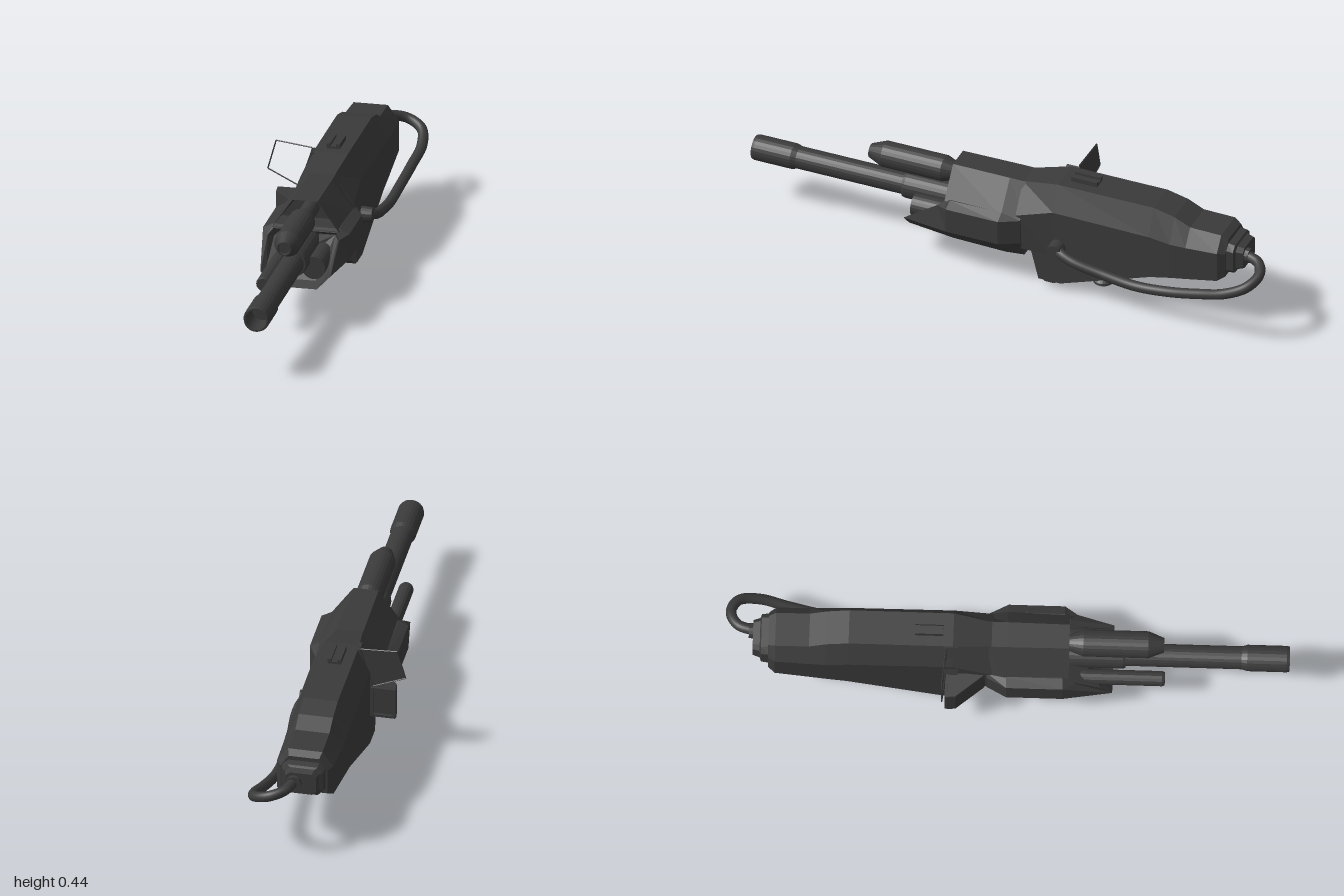
import * as THREE from 'three';

const CX = 0.022; // mirror line of the main body
const mat = new THREE.MeshStandardMaterial({ color: 0x3a3a3a, flatShading: true });
const smooth = new THREE.MeshStandardMaterial({ color: 0x3a3a3a });

export function createModel() {
  const model = new THREE.Group();
  const add = (name, geo, material = mat) => {
    const m = new THREE.Mesh(geo, material);
    m.name = name;
    model.add(m);
    return m;
  };

  // Loft front to back through mirrored rings; half points are [halfWidth, y, zOffset]
  const loft = (sections) => {
    const rings = sections.map(([z, half]) => {
      const side = (s) => half.map(([w, y, dz = 0]) => [CX + s * w, y, z + dz]);
      return [...side(1), ...side(-1).reverse()];
    });
    const pos = [];
    const tri = (...p) => p.forEach((q) => pos.push(...q));
    const n = rings[0].length;
    for (let i = 0; i < rings.length - 1; i++) {
      for (let j = 0; j < n; j++) {
        const k = (j + 1) % n;
        const [a, b, c, d] = [rings[i][j], rings[i][k], rings[i + 1][k], rings[i + 1][j]];
        tri(a, b, c);
        tri(a, c, d);
      }
    }
    const first = rings[0], last = rings[rings.length - 1];
    for (let k = 1; k < n - 1; k++) {
      tri(first[0], first[k + 1], first[k]);
      tri(last[0], last[k], last[k + 1]);
    }
    const g = new THREE.BufferGeometry();
    g.setAttribute('position', new THREE.Float32BufferAttribute(pos, 3));
    g.computeVertexNormals();
    return g;
  };

  // Side profile [z, y] extruded across x
  const sideExtrude = (pts, x0, width) => {
    const shape = new THREE.Shape(pts.map(([z, y]) => new THREE.Vector2(z, y)));
    return new THREE.ExtrudeGeometry(shape, { depth: width, bevelEnabled: false })
      .rotateY(-Math.PI / 2).translate(x0 + width, 0, 0);
  };

  // Turned part along z; profile is [radius, z] from back to front
  const turned = (profile, x, y, seg = 24) =>
    new THREE.LatheGeometry(profile.map(([r, z]) => new THREE.Vector2(r, z)), seg)
      .rotateX(Math.PI / 2).translate(x, y, 0);

  const box = (w, h, d, x, y, z) => new THREE.BoxGeometry(w, h, d).translate(x, y, z);

  // Main body
  add('body', loft([
    [-0.05, [[0.045, 0.385], [0.115, 0.28], [0.107, 0.14]]],
    [-0.19, [[0.0625, 0.418], [0.107, 0.325], [0.107, 0.14]]],
    [-0.56, [[0.0625, 0.418], [0.107, 0.32], [0.107, 0.15]]],
    [-0.64, [[0.062, 0.4], [0.107, 0.31], [0.107, 0.168]]],
    [-0.70, [[0.062, 0.372], [0.105, 0.31], [0.105, 0.178]]],
    [-0.82, [[0.062, 0.37], [0.102, 0.315], [0.102, 0.2]]],
    [-0.845, [[0.055, 0.355], [0.085, 0.31], [0.085, 0.215]]],
  ]));

  // Rear cap in two steps
  add('rearCap', loft([
    [-0.84, [[0.055, 0.34], [0.078, 0.32], [0.078, 0.235], [0.055, 0.215]]],
    [-0.87, [[0.055, 0.335], [0.075, 0.315], [0.075, 0.24], [0.055, 0.22]]],
    [-0.875, [[0.045, 0.328], [0.062, 0.312], [0.062, 0.245], [0.045, 0.23]]],
    [-0.9, [[0.04, 0.322], [0.055, 0.308], [0.055, 0.25], [0.04, 0.238]]],
  ]));

  // Faceted lower handguard with a recessed front
  add('handguard', loft([
    [0.335, [[0.1, 0.25, -0.155], [0.115, 0.24, -0.13], [0.113, 0.175], [0.065, 0.13]]],
    [0.375, [[0.115, 0.272, -0.155], [0.13, 0.255, -0.13], [0.127, 0.165], [0.078, 0.113]]],
    [0.2, [[0.122, 0.282], [0.157, 0.265], [0.157, 0.17], [0.087, 0.1]]],
    [0, [[0.122, 0.285], [0.157, 0.265], [0.157, 0.17], [0.087, 0.095]]],
    [-0.07, [[0.107, 0.28], [0.12, 0.265], [0.12, 0.17], [0.08, 0.097]]],
  ]));

  // Upper hood, hollow at the front
  add('hood', loft([
    [0.12, [[0.038, 0.375], [0.108, 0.285]]],
    [0.22, [[0.045, 0.385], [0.122, 0.275]]],
    [0, [[0.047, 0.386], [0.13, 0.275]]],
    [-0.08, [[0.047, 0.386], [0.11, 0.275]]],
  ]));

  // Barrel and its collar, with a hollow muzzle
  add('barrel', turned([[0.041, 0.1], [0.041, 0.83], [0.047, 0.85], [0.047, 0.99],
    [0.044, 1], [0.038, 1], [0.036, 0.9], [0, 0.9]], CX, 0.22));
  add('barrelCollar', turned([[0.051, 0.1], [0.051, 0.41], [0.048, 0.42], [0.03, 0.42]], CX, 0.22));

  // Upper tube and smaller side tubes
  add('upperTube', turned([[0.03, 0.1], [0.03, 0.22], [0.048, 0.27], [0.048, 0.5],
    [0.026, 0.555], [0.022, 0.555], [0.02, 0.545], [0, 0.545]], CX, 0.325));
  add('sideTube', turned([[0.027, 0.2], [0.027, 0.55], [0.023, 0.56], [0, 0.56]], -0.053, 0.185, 16));
  add('sideSocket', turned([[0.042, 0.2], [0.042, 0.36], [0, 0.36]], 0.085, 0.187));

  // Keel: solid front block and two walls around an open well
  add('keelBlock', sideExtrude([[-0.1, 0.16], [-0.11, 0.13], [-0.135, 0.035], [-0.155, 0.018],
    [-0.19, 0.018], [-0.22, 0.032], [-0.22, 0.16]], CX - 0.098, 0.196));
  for (const s of [-1, 1]) {
    add('keelWall', sideExtrude([[-0.1, 0.16], [-0.11, 0.13], [-0.135, 0.03],
      [-0.22, 0.03], [-0.57, 0.153], [-0.57, 0.17]], CX + s * 0.0985 - 0.0085, 0.017));
  }

  // Flared stud under the well
  add('mountStud', new THREE.LatheGeometry([[0, 0], [0.02, 0.001], [0.037, 0.008], [0.035, 0.016],
    [0.021, 0.03], [0.021, 0.16]].map(([r, y]) => new THREE.Vector2(r, y)), 20)
    .translate(CX, 0, -0.34));

  // Top sight: base with two ridges
  add('sightBase', box(0.046, 0.012, 0.1, CX, 0.42, -0.275));
  for (const s of [-1, 1]) add('sightRidge', box(0.013, 0.022, 0.1, CX + s * 0.0175, 0.425, -0.275));

  // Wedge-shaped display box on the right flank, with a recessed rear screen
  const wedge = new THREE.Shape([[-0.175, 0.205], [-0.07, 0.205], [-0.07, 0.07], [-0.09, 0.08],
    [-0.172, 0.178]].map(([x, y]) => new THREE.Vector2(x, y)));
  add('displayBox', new THREE.ExtrudeGeometry(wedge, { depth: 0.115, bevelEnabled: true,
    bevelThickness: 0.006, bevelSize: 0.002, bevelSegments: 1 })
    .rotateX(-Math.PI / 2).translate(0, 0.145, 0));
  for (const s of [-1, 1]) {
    add('displayRim', box(0.09, 0.01, 0.012, -0.13, 0.2025 + s * 0.055, -0.21));
    add('displayRim', box(0.01, 0.12, 0.012, -0.13 + s * 0.04, 0.2025, -0.21));
  }

  // Tilted sight glass: thin frame, rear-facing pane and a mounting arm
  const corners = [[-0.185, 0.433, -0.225], [-0.05, 0.42, -0.215], [-0.095, 0.27, -0.215], [-0.215, 0.325, -0.225]]
    .map((p) => new THREE.Vector3(...p));
  corners.forEach((p, i) => {
    const q = corners[(i + 1) % 4];
    add('glassFrame', new THREE.TubeGeometry(new THREE.LineCurve3(p, q), 1, 0.0025, 4));
  });
  const pane = new THREE.BufferGeometry().setFromPoints([0, 3, 2, 0, 2, 1].map((i) => corners[i]));
  pane.computeVertexNormals();
  // Wind the pane so that it shows from behind only
  if (pane.attributes.normal.getZ(0) > 0) {
    pane.setFromPoints([0, 2, 3, 0, 1, 2].map((i) => corners[i]));
    pane.computeVertexNormals();
  }
  add('glassPane', pane);
  const arm = add('glassArm', new THREE.BoxGeometry(0.02, 0.15, 0.05));
  arm.position.set(-0.062, 0.345, -0.195);
  arm.rotation.z = -0.33;

  // Hose from the left flank round to the rear cap
  const path = new THREE.CatmullRomCurve3([
    [0.12, 0.19, -0.2], [0.153, 0.183, -0.225], [0.167, 0.165, -0.28], [0.162, 0.137, -0.4],
    [0.162, 0.122, -0.52], [0.167, 0.135, -0.65], [0.182, 0.17, -0.78], [0.194, 0.205, -0.88],
    [0.175, 0.24, -0.955], [0.12, 0.265, -0.981], [0.068, 0.28, -0.955], [0.045, 0.285, -0.89],
  ].map((p) => new THREE.Vector3(...p)));
  add('hose', new THREE.TubeGeometry(path, 80, 0.019, 12), smooth);
  add('hoseSocket', new THREE.CylinderGeometry(0.027, 0.031, 0.05, 16)
    .rotateZ(-Math.PI / 2).translate(0.145, 0.185, -0.21));
  add('hoseEndRing', turned([[0, -0.915], [0.027, -0.915], [0.027, -0.89]], 0.045, 0.285, 16));

  return model;
}
